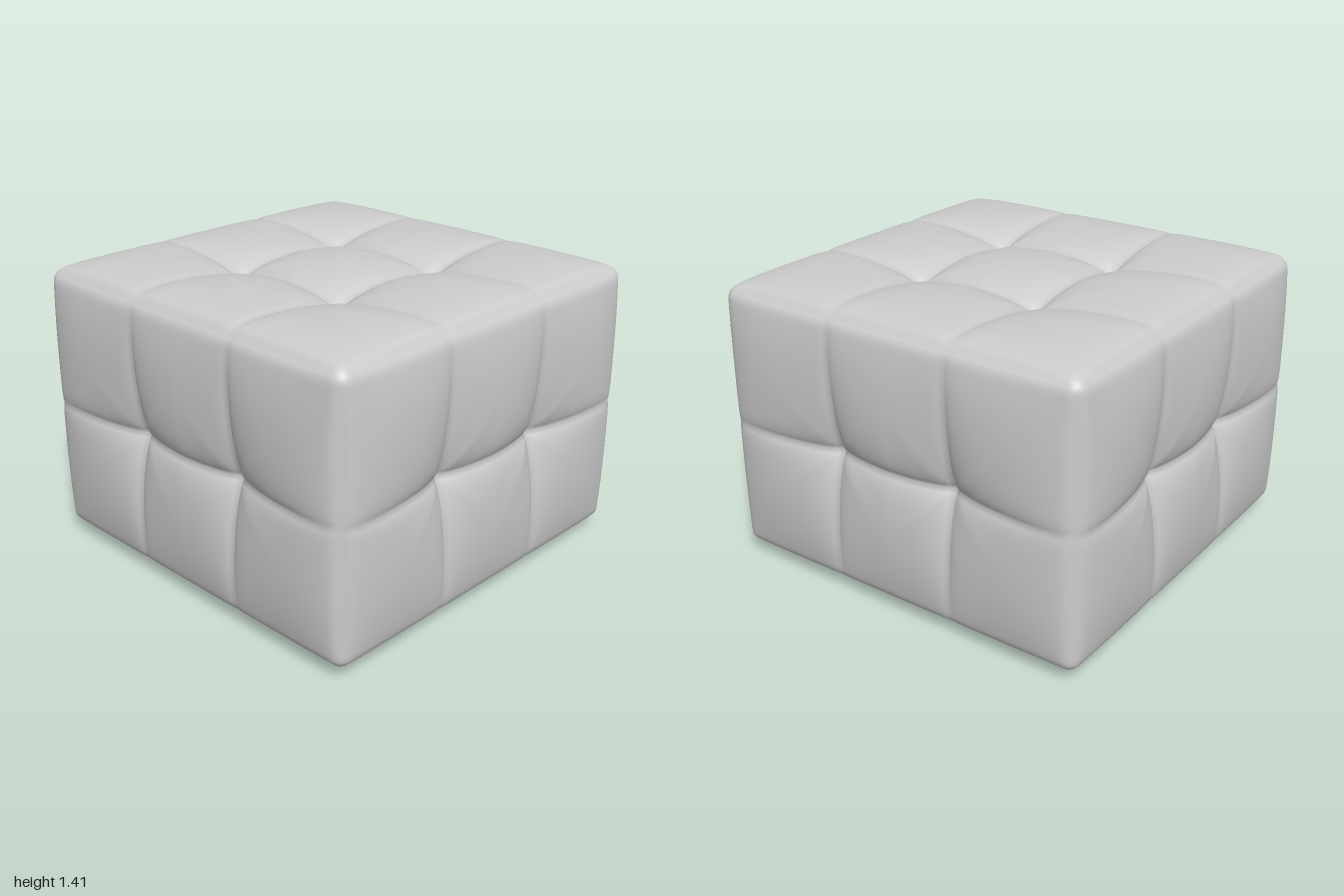
import * as THREE from 'three';
import { mergeVertices } from 'three/addons/utils/BufferGeometryUtils.js';

const HALF = [0.945, 0.655, 0.945]; // half sizes of the cushion before it is puffed out
const CENTRE_Y = 0.705;
const ROUND = 0.055;
const PUFF = 0.055;
const SEAM = HALF[0] / 3;

// Distance to the seams that cross one axis: two on x and z, one on y
const seamDistance = (value, axis) => (axis === 1 ? Math.abs(value) : Math.abs(Math.abs(value) - SEAM));

// Outward offset of a face at the coordinates (p, q) on the axes (i, j)
function puffAt(p, i, q, j) {
  const fade = (v, axis) => Math.max(0, 1 - Math.pow(Math.abs(v) / HALF[axis], axis === 1 ? 3.5 : 8));
  const edge = fade(p, i) * fade(q, j);
  const dp = seamDistance(p, i);
  const dq = seamDistance(q, j);
  const along = (v, axis) => 1 - (v / HALF[axis]) ** 2;
  const button = 0.07 * Math.exp(-Math.hypot(dp, dq) / 0.13);
  const fold = 0.04 * Math.max(along(q, j) * Math.exp(-dp / 0.1), along(p, i) * Math.exp(-dq / 0.1));
  const stitch = 0.012 * Math.exp(-Math.min(dp, dq) / 0.025);
  return edge * (PUFF - button - fold) - Math.sqrt(edge) * stitch;
}

// Rounded block, puffed out and tufted on every face but the flat bottom
function cushionGeometry() {
  const raw = new THREE.BoxGeometry(HALF[0] * 2, HALF[1] * 2, HALF[2] * 2, 90, 64, 90);
  raw.deleteAttribute('uv');
  raw.deleteAttribute('normal');
  const geometry = mergeVertices(raw, 1e-4);
  const position = geometry.attributes.position;
  const core = HALF.map((h) => h - ROUND);
  for (let n = 0; n < position.count; n++) {
    const p = [position.getX(n), position.getY(n), position.getZ(n)];
    const inner = p.map((v, a) => THREE.MathUtils.clamp(v, -core[a], core[a]));
    const out = new THREE.Vector3(...p.map((v, a) => v - inner[a])).normalize();
    const result = inner.map((v, a) => v + out.getComponent(a) * ROUND);
    for (let a = 0; a < 3; a++) {
      const onFace = Math.abs(p[a]) > HALF[a] - 1e-4;
      if (!onFace || (a === 1 && p[1] < 0)) continue;
      const i = (a + 1) % 3;
      const j = (a + 2) % 3;
      result[a] += Math.sign(p[a]) * puffAt(p[i], i, p[j], j);
    }
    position.setXYZ(n, result[0], result[1] + CENTRE_Y, result[2]);
  }
  geometry.computeVertexNormals();
  return geometry;
}

export function createModel() {
  const group = new THREE.Group();
  group.name = 'ottoman';
  const material = new THREE.MeshStandardMaterial({ color: 0xcccccc });

  const cushion = new THREE.Mesh(cushionGeometry(), material);
  cushion.name = 'tuftedCushion';
  group.add(cushion);

  // Four short round feet
  const footGeometry = new THREE.CylinderGeometry(0.085, 0.085, 0.06, 32);
  for (const [sideName, x] of [['Right', -0.7], ['Left', 0.74]]) {
    for (const [endName, z] of [['front', 0.75], ['back', -0.67]]) {
      const foot = new THREE.Mesh(footGeometry, material);
      foot.name = `${endName}${sideName}Foot`;
      foot.position.set(x, 0.03, z);
      group.add(foot);
    }
  }
  return group;
}
